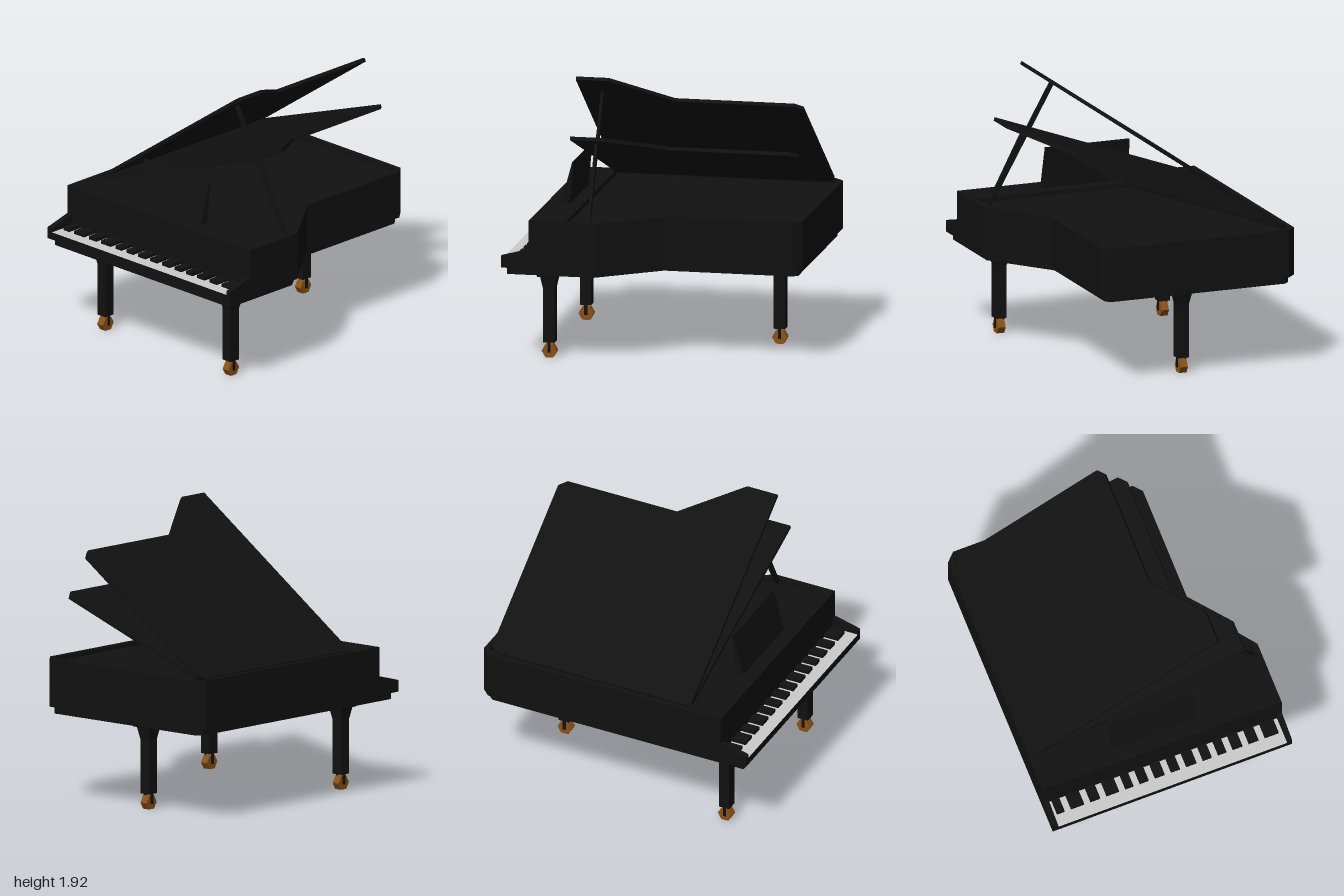
import * as THREE from 'three';

const mat = (color) => new THREE.MeshStandardMaterial({ color, flatShading: true });

export function createModel() {
  const root = new THREE.Group();
  const black = mat(0x111111), ivory = mat(0xe0e0e0), brass = mat(0x8a5218);

  const add = (name, geometry, material = black, parent = root) => {
    const mesh = new THREE.Mesh(geometry, material);
    mesh.name = name;
    parent.add(mesh);
    return mesh;
  };
  const box = (name, x0, x1, y0, y1, z0, z1, material, parent) => {
    const mesh = add(name, new THREE.BoxGeometry(x1 - x0, y1 - y0, z1 - z0), material, parent);
    mesh.position.set((x0 + x1) / 2, (y0 + y1) / 2, (z0 + z1) / 2);
    return mesh;
  };

  // Plan outline of the case, inset by d and cut off at zFront
  const plan = (d, zFront) => [
    [-0.87 + d, zFront], [0.86 - d, zFront], [0.86 - d, 0.36 + d * 0.34], [0.54 - d, -0.06 + d * 0.34],
    [0.54 - d, -0.94 + d * 0.4], [0.49 - d * 0.4, -1 + d], [-0.81 + d * 0.4, -1 + d], [-0.87 + d, -0.94 + d * 0.4],
  ].map(([x, z]) => new THREE.Vector2(x, -z));

  // Extrude a plan shape upward from y0 to y1
  const slab = (shape, y0, y1) =>
    new THREE.ExtrudeGeometry(shape, { depth: y1 - y0, bevelEnabled: false })
      .rotateX(-Math.PI / 2).translate(0, y0, 0);

  // Extrude a (z, y) side profile across x0..x1
  const across = (points, x0, x1) =>
    new THREE.ExtrudeGeometry(new THREE.Shape(points.map(([z, y]) => new THREE.Vector2(-z, y))),
      { depth: x1 - x0, bevelEnabled: false }).rotateY(Math.PI / 2).translate(x0, 0, 0);

  // Case: base, rim with a shallow well, soundboard
  add('base', slab(new THREE.Shape(plan(0.035, 0.965)), 0.61, 0.66));
  const rim = new THREE.Shape(plan(0, 0.81));
  rim.holes.push(new THREE.Path(plan(0.04, 0.56)));
  add('rim', slab(rim, 0.66, 0.99));
  add('soundboard', slab(new THREE.Shape(plan(0.04, 0.56)), 0.9, 0.96));

  // Sloping cheeks on both sides of the keyboard
  const cheek = [[0.81, 0.66], [1, 0.66], [1, 0.74], [0.81, 0.79]];
  add('leftCheek', across(cheek, 0.825, 0.86));
  add('rightCheek', across(cheek, -0.87, -0.83));

  // Keyboard
  box('keyBed', -0.83, 0.825, 0.66, 0.71, 0.81, 1);
  const white = add('whiteKeys', new THREE.PlaneGeometry(1.655, 0.19).rotateX(-Math.PI / 2), ivory);
  white.position.set(-0.0025, 0.712, 0.905);
  const widths = [0.055, 0.095, 0.07, 0.09, 0.058, 0.064, 0.07, 0.064, 0.074, 0.064, 0.06, 0.07, 0.07, 0.1];
  let keyX = -0.806;
  for (const w of widths) {
    box('blackKey', keyX, keyX + w, 0.71, 0.735, 0.81, 0.915);
    keyX += w + 0.046;
  }

  // Music desk leaning back
  add('musicDesk', across([[0.71, 0.985], [0.63, 1.28], [0.62, 1.28], [0.65, 0.985]], -0.32, 0.295));

  // Two lid leaves hinged along the right side
  const lidPlan = [[0, 0.56], [1.61, 0.56], [1.61, 0.335], [1.305, -0.07], [1.305, -0.89],
    [1.26, -0.945], [0.04, -0.945], [0, -0.89]];
  const lidShape = new THREE.Shape(lidPlan.map(([x, z]) => new THREE.Vector2(x, -z)));
  for (const [name, angle] of [['upperLid', 0.611], ['lowerLid', 0.349]]) {
    const lid = add(name, slab(lidShape, -0.012, 0.012));
    lid.position.set(-0.82, 0.985, 0);
    lid.rotation.z = angle;
  }

  // Lid props
  const prop = (name, x0, y0, x1, y1) => {
    const stick = add(name, new THREE.BoxGeometry(0.03, Math.hypot(x1 - x0, y1 - y0), 0.02));
    stick.position.set((x0 + x1) / 2, (y0 + y1) / 2, 0.41);
    stick.rotation.z = Math.atan2(x0 - x1, y1 - y0);
  };
  prop('longProp', 0.8, 0.97, 0.335, 1.79);
  prop('shortProp', 0.8, 0.97, 0.535, 1.48);

  // Square tapered block, with half widths at bottom and top
  const taper = (name, bottom, top, y0, y1, parent) => {
    const geometry = new THREE.CylinderGeometry(top * Math.SQRT2, bottom * Math.SQRT2, y1 - y0, 4)
      .rotateY(Math.PI / 4).translate(0, (y0 + y1) / 2, 0);
    add(name, geometry, black, parent);
  };

  // Legs with casters
  for (const [name, x, z] of [['frontRightLeg', -0.6, 0.72], ['frontLeftLeg', 0.59, 0.72], ['backLeg', -0.145, -0.71]]) {
    const leg = new THREE.Group();
    leg.name = name;
    leg.position.set(x, 0, z);
    root.add(leg);
    taper('legPlate', 0.073, 0.092, 0.563, 0.612, leg);
    taper('legHead', 0.039, 0.057, 0.475, 0.565, leg);
    taper('legShaft', 0.039, 0.039, 0.105, 0.475, leg);
    for (const s of [-1, 1]) box('casterFork', s * 0.031 - 0.004, s * 0.031 + 0.004, 0.035, 0.107, -0.01, 0.01, black, leg);
    const wheel = add('casterWheel', new THREE.CylinderGeometry(0.052, 0.052, 0.054, 6).rotateZ(Math.PI / 2), brass, leg);
    wheel.position.y = 0.045;
  }
  return root;
}
